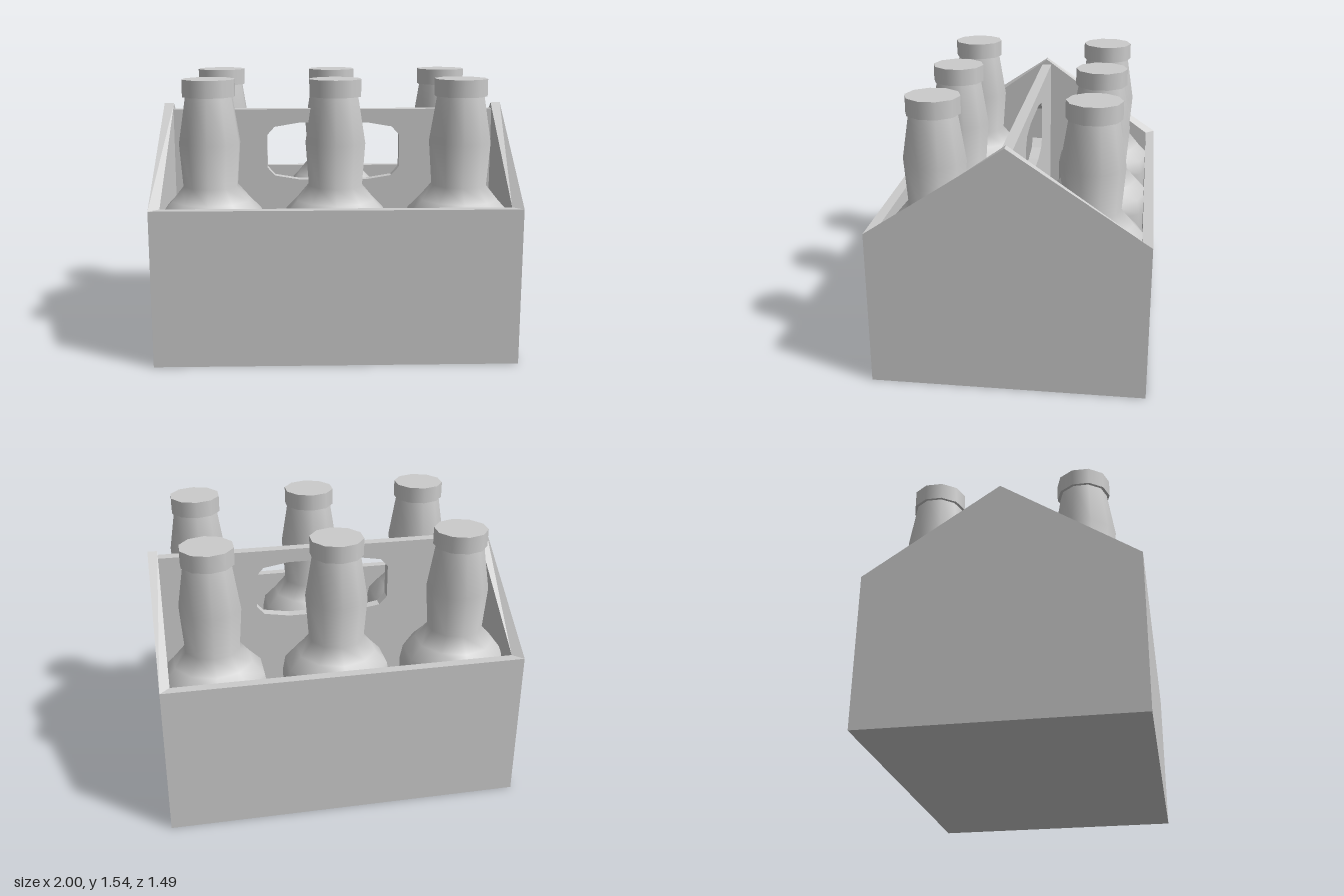
import * as THREE from 'three';

const W = 1, D = 0.745, T = 0.055, WALL = 0.87, PEAK = 1.365;

const material = new THREE.MeshStandardMaterial({ color: 0xcccccc });

function part(name, geometry, parent) {
  const mesh = new THREE.Mesh(geometry, material);
  mesh.name = name;
  parent.add(mesh);
  return mesh;
}

const toShape = (pts) => new THREE.Shape(pts.map(([x, y]) => new THREE.Vector2(x, y)));

// Upright panel whose inner face is narrowed, so that the corners meet in a mitre
function mitredPanel(outline, halfWidth) {
  const geometry = new THREE.ExtrudeGeometry(toShape(outline), { depth: T, bevelEnabled: false });
  const pos = geometry.attributes.position;
  for (let i = 0; i < pos.count; i++) {
    if (pos.getZ(i) < T / 2) pos.setX(i, pos.getX(i) * (halfWidth - T) / halfWidth);
  }
  geometry.computeVertexNormals();
  return geometry;
}

function createCarrier() {
  const carrier = new THREE.Group();
  carrier.name = 'carrier';

  // Low front and back walls, gabled end walls
  const wall = mitredPanel([[-W, 0], [W, 0], [W, WALL], [-W, WALL]], W);
  wall.translate(0, 0, D - T);
  const gable = mitredPanel([[-D, 0], [D, 0], [D, WALL], [0, PEAK], [-D, WALL]], D);
  gable.rotateY(Math.PI / 2).translate(W - T, 0, 0);
  part('frontWall', wall, carrier);
  part('backWall', wall, carrier).rotation.y = Math.PI;
  part('leftGable', gable, carrier);
  part('rightGable', gable, carrier).rotation.y = Math.PI;

  // Floor
  const floor = new THREE.BoxGeometry(2 * (W - T), 0.04, 2 * (D - T));
  part('floor', floor.translate(0, 0.02, 0), carrier);

  // Central divider with the hand hole
  const x = W - T;
  const divider = toShape([[-x, 0.04], [x, 0.04], [x, 1.33], [-x, 1.33]]);
  const right = [[0.2, 0.905], [0.35, 0.93], [0.395, 0.98], [0.395, 1.175], [0.35, 1.225], [0.2, 1.25]];
  const left = right.map(([px, py]) => [-px, py]).reverse();
  divider.holes.push(new THREE.Path([...right, ...left].map(([px, py]) => new THREE.Vector2(px, py))));
  const dividerGeometry = new THREE.ExtrudeGeometry(divider, { depth: 0.06, bevelEnabled: false });
  part('handleDivider', dividerGeometry.translate(0, 0, -0.03), carrier);
  return carrier;
}

// Ten-sided bottle: body, shoulder and swelling neck, closed by a flat cap
const bottleProfile = [
  [0, 0.02], [0.305, 0.02], [0.305, 0.72], [0.29, 0.8], [0.222, 0.87],
  [0.155, 0.95], [0.173, 1.19], [0.131, 1.45],
].map(([r, y]) => new THREE.Vector2(r, y));
const bottleGeometry = new THREE.LatheGeometry(bottleProfile, 10);
const capGeometry = new THREE.CylinderGeometry(0.148, 0.148, 0.095, 10).translate(0, 1.4925, 0);

function createBottle() {
  const bottle = new THREE.Group();
  bottle.name = 'bottle';
  part('bottleBody', bottleGeometry, bottle);
  part('bottleCap', capGeometry, bottle);
  return bottle;
}

export function createModel() {
  const model = new THREE.Group();
  model.name = 'bottleCarrier';
  model.add(createCarrier());

  // Two rows of three bottles
  for (const x of [-0.695, 0, 0.695]) {
    for (const z of [-0.42, 0.42]) {
      const bottle = createBottle();
      bottle.position.set(x, 0, z);
      model.add(bottle);
    }
  }
  return model;
}
